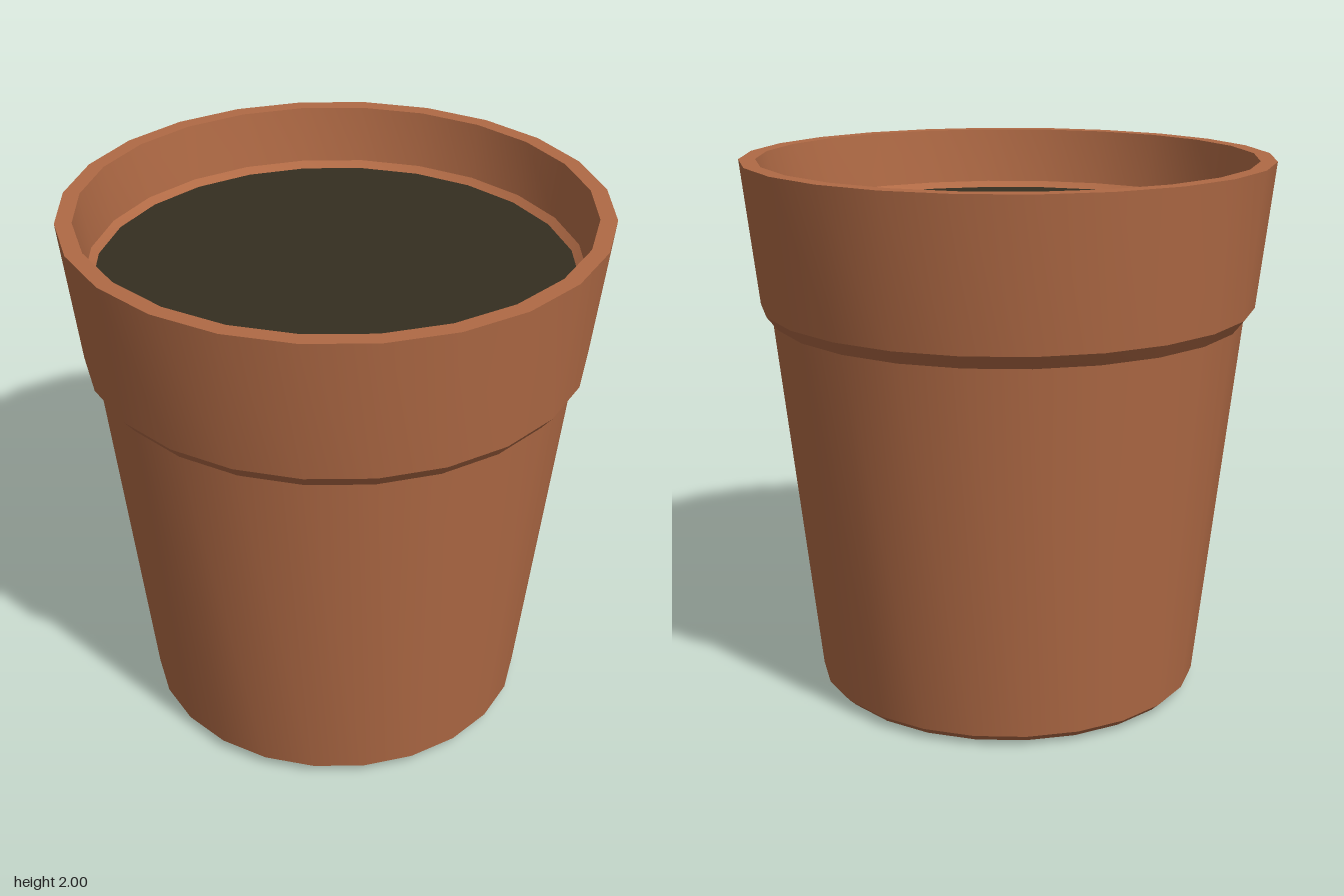
import * as THREE from 'three';
import { toCreasedNormals } from 'three/addons/utils/BufferGeometryUtils.js';

const SIDES = 24;

// Revolve a profile of [radius, height] pairs, keeping its corners sharp
function revolve(name, profile, color) {
  const points = profile.map(([r, y]) => new THREE.Vector2(r, y));
  const geometry = toCreasedNormals(new THREE.LatheGeometry(points, SIDES), 0.4);
  const mesh = new THREE.Mesh(geometry, new THREE.MeshStandardMaterial({ color }));
  mesh.name = name;
  return mesh;
}

export function createModel() {
  const group = new THREE.Group();
  group.name = 'flowerPot';

  // Clay pot: underside, bevelled foot, tapered wall, collar, lip and inner wall
  group.add(revolve('pot', [
    [0, 0], [0.57, 0], [0.69, 0.012],
    [0.72, 0.04], [0.87, 1.42],
    [0.91, 1.47], [0.97, 2],
    [0.91, 2], [0.885, 1.79],
    [0.855, 1.765], [0.85, 1.72],
  ], 0xb06a45));

  // Soil filling the pot, just below the inner ledge
  const soil = new THREE.Mesh(
    new THREE.CircleGeometry(0.86, SIDES).rotateX(-Math.PI / 2),
    new THREE.MeshStandardMaterial({ color: 0x352e20 })
  );
  soil.name = 'soil';
  soil.position.y = 1.768;
  group.add(soil);

  return group;
}
